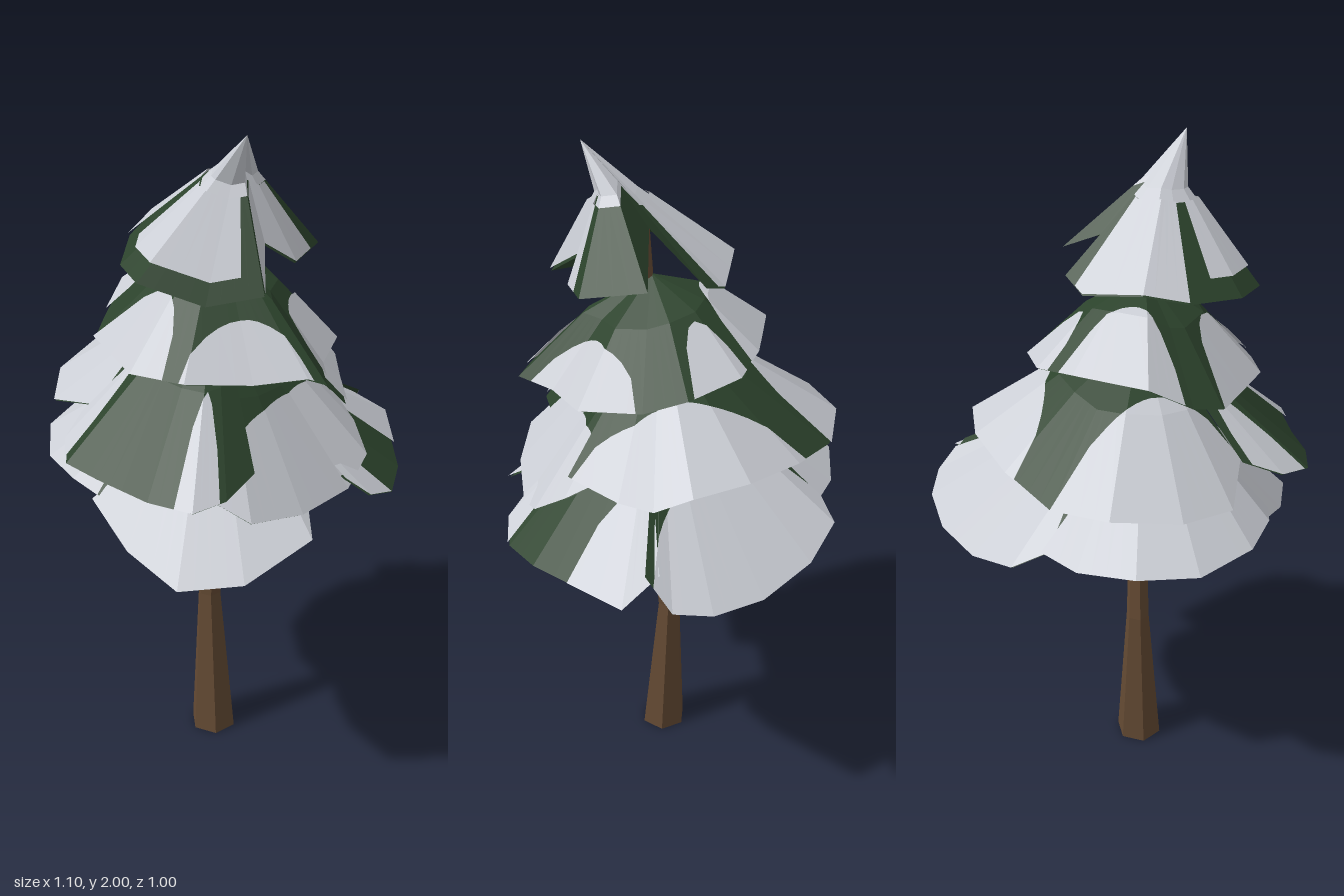
import * as THREE from 'three';

const make = (name, color) => {
  const m = new THREE.MeshStandardMaterial({ color, flatShading: true, side: THREE.DoubleSide });
  m.name = name;
  return m;
};

// Bent hexagonal trunk: rings of [x, y, z, radius]
function trunkGeometry() {
  const rings = [
    [-0.077, 0, 0.012, 0.072], [-0.07, 0.5, -0.006, 0.036], [-0.066, 0.8, 0.025, 0.028],
    [-0.068, 1.0, 0.02, 0.025], [-0.08, 1.5, 0.045, 0.021], [-0.095, 1.85, 0.062, 0.018],
  ];
  const n = rings.length - 1;
  const g = new THREE.CylinderGeometry(1, 1, n, 6, n, false, Math.PI / 12);
  const p = g.attributes.position;
  for (let i = 0; i < p.count; i++) {
    const [x, y, z, r] = rings[Math.round(p.getY(i) + n / 2)];
    p.setXYZ(i, x + p.getX(i) * r, y, z + p.getZ(i) * r);
  }
  return g;
}

// Sheet swept between top(u) and t1 on a bough; t runs from apex (0) to rim (1).
// It is lifted up and away from the trunk by the given amount.
function sheet(at, mid, u0, u1, top, t1, lift) {
  const pos = [];
  const us = [u0];
  for (let u = Math.floor(u0 * 4 + 1) / 4; u < u1; u += 0.25) us.push(u);
  us.push(u1);
  const put = (...pts) => pts.forEach((v) => {
    const out = new THREE.Vector3(v.x + 0.08, 0, v.z - 0.05).normalize();
    pos.push(v.x + out.x * lift, v.y + lift * 0.7, v.z + out.z * lift);
  });
  for (let i = 0; i + 1 < us.length; i++) {
    const [a, b] = [us[i], us[i + 1]];
    const rows = (u) => [top(u), Math.min(t1, Math.max(top(u), mid)), t1];
    const ra = rows(a), rb = rows(b);
    for (let k = 0; k < 2; k++) {
      const p = at(a, ra[k]), q = at(a, ra[k + 1]), r = at(b, rb[k + 1]), s = at(b, rb[k]);
      put(p, q, r, p, r, s);
    }
  }
  const g = new THREE.BufferGeometry();
  g.setAttribute('position', new THREE.Float32BufferAttribute(pos, 3));
  g.computeVertexNormals();
  return g;
}

// A bough: drooping fan from an apex to a rim, with snow patches [u0, u1, tTop, tBottom].
// Patches are round-topped unless tBottom is given; under lists patches on the lower face,
// and cap is the part of t that is all snow.
function bough(name, { apex, rim, snow, under = [], mid = 0.5, bend = [0, 0.025, 0], closed = false, cap = 0 }, needles, snowMat) {
  const tip = new THREE.Vector3(...apex);
  const off = new THREE.Vector3(...bend);
  const pts = rim.map((p) => new THREE.Vector3(...p));
  if (closed) pts.push(pts[0].clone());
  const last = pts.length - 1;
  const at = (u, t) => {
    const i = Math.min(Math.floor(u), last - 1);
    const edge = pts[i].clone().lerp(pts[i + 1], u - i);
    const k = t < mid ? t / mid : (1 - t) / (1 - mid);
    return tip.clone().lerp(edge, t).addScaledVector(off, k);
  };
  const group = new THREE.Group();
  group.name = name;
  const add = (part, geo, mat) => {
    const m = new THREE.Mesh(geo, mat);
    m.name = part;
    group.add(m);
  };
  add('needles', sheet(at, mid, 0, last, () => cap, 1, 0), needles);
  if (cap) add('snowCap', sheet(at, mid, 0, last, () => 0, cap, 0), snowMat);
  for (const [u0, u1, t0, t1] of snow) {
    const round = (u) => 1 - (1 - t0) * Math.pow(Math.max(0, Math.sin((Math.PI * (u - u0)) / (u1 - u0))), 0.38);
    add('snowPatch', sheet(at, mid, u0, u1, t1 ? () => t0 : round, t1 ?? 1, 0.006), snowMat);
  }
  for (const [u0, u1, t0, t1] of under) add('underSnow', sheet(at, mid, u0, u1, () => t0, t1, -0.005), snowMat);
  return group;
}

const low = [-0.08, 1.32, 0.02];
const middle = [-0.07, 1.49, 0.02];

const boughs = {
  lowRightBough: {
    apex: low, snow: [[0, 5, 0.45]], under: [[0.8, 1.15, 0.6, 0.85]],
    rim: [[-0.44, 0.96, -0.12], [-0.49, 0.88, 0.05], [-0.51, 0.84, 0.24], [-0.4, 0.86, 0.38], [-0.21, 0.94, 0.46], [-0.13, 1.02, 0.38]],
  },
  lowFrontBough: {
    apex: low, snow: [[0, 1.9, 0.5], [3.4, 5, 0.5]],
    rim: [[0, 1.02, 0.42], [0.04, 0.97, 0.48], [0.14, 0.94, 0.495], [0.26, 0.95, 0.44], [0.51, 0.96, 0.23], [0.46, 1.02, 0.12]],
  },
  lowLeftBough: {
    apex: low, snow: [[0.3, 6, 0.45]], under: [[0.6, 2, 0.7, 0.99]],
    rim: [[0.47, 1.03, 0.16], [0.54, 0.95, 0.1], [0.545, 0.93, -0.01], [0.49, 0.92, -0.16], [0.38, 0.94, -0.32], [0.26, 0.98, -0.42], [0.16, 1.02, -0.4]],
  },
  lowBackBough: {
    apex: low, snow: [[0, 6, 0.4]],
    rim: [[0.18, 1.02, -0.4], [0.08, 1, -0.46], [-0.08, 1.01, -0.5], [-0.25, 1, -0.465], [-0.39, 1, -0.33], [-0.44, 1, -0.19], [-0.44, 0.98, -0.1]],
  },
  middleFrontBough: {
    apex: middle, snow: [[0.1, 5.6, 0.54]],
    rim: [[-0.4, 1.08, 0.28], [-0.36, 1.03, 0.37], [-0.2, 1, 0.42], [0, 0.99, 0.43], [0.12, 1.04, 0.41], [0.17, 1.1, 0.33], [0.2, 1.17, 0.22]],
  },
  middleLeftBough: {
    apex: middle, snow: [[0.1, 5.2, 0.5]],
    rim: [[0.15, 1.16, 0.32], [0.29, 1.15, 0.2], [0.38, 1.17, 0.12], [0.41, 1.22, 0.02], [0.38, 1.23, -0.14], [0.28, 1.21, -0.3], [0.15, 1.18, -0.43]],
  },
  middleBackBough: {
    apex: middle, snow: [[0, 4, 0.4]],
    rim: [[0.15, 1.18, -0.43], [-0.01, 1.19, -0.49], [-0.2, 1.17, -0.46], [-0.33, 1.15, -0.36], [-0.35, 1.2, -0.18]],
  },
  middleRightBough: {
    apex: middle, snow: [[0.2, 1.8, 0.5], [4.6, 5.8, 0.5]],
    rim: [[-0.36, 1.2, -0.2], [-0.47, 1.15, -0.18], [-0.55, 1.13, -0.11], [-0.55, 1.12, 0], [-0.52, 1.09, 0.15], [-0.49, 1.09, 0.28], [-0.4, 1.1, 0.32], [-0.28, 1.13, 0.32]],
  },
  upperBoughs: {
    apex: [-0.08, 1.645, 0.04], closed: true, bend: [0, 0.04, 0],
    snow: [[0.4, 2.9, 0.61], [4.1, 5.3, 0.55], [5.6, 7.8, 0.4], [9, 10.6, 0.5], [10.9, 13.3, 0.62]],
    rim: [[-0.1, 1.35, 0.42], [0, 1.35, 0.33], [0.14, 1.36, 0.28], [0.22, 1.38, 0.12], [0.245, 1.42, 0],
      [0.2, 1.45, -0.15], [0.1, 1.47, -0.22], [-0.1, 1.47, -0.29], [-0.22, 1.4, -0.26], [-0.3, 1.38, -0.22],
      [-0.4, 1.37, 0], [-0.36, 1.37, 0.15], [-0.24, 1.36, 0.28], [-0.14, 1.37, 0.38]],
  },
  treeTop: {
    apex: [-0.18, 2, 0.21], closed: true, mid: 0.23, bend: [0.04, -0.045, -0.05], cap: 0.32,
    snow: [[0, 0.6, 0.32, 0.99], [4.6, 7, 0.32, 0.99], [7.5, 10.6, 0.32, 0.85], [11, 13, 0.32, 0.99]],
    rim: [[-0.05, 1.64, 0.27], [0.07, 1.66, 0.26], [0.15, 1.7, 0.09], [-0.05, 1.79, 0.05], [0.13, 1.69, -0.07], [0.08, 1.66, -0.13], [-0.08, 1.69, -0.19],
      [-0.2, 1.66, -0.17], [-0.34, 1.64, -0.08], [-0.39, 1.63, 0.02], [-0.31, 1.58, 0.18], [-0.22, 1.61, 0.3], [-0.12, 1.7, 0.22]],
  },
};

export function createModel() {
  const bark = make('bark brown', 0x644a33);
  const needles = make('needle green', 0x2c432c);
  const snow = make('snow white', 0xcbced5);

  const tree = new THREE.Group();
  tree.name = 'snowyPine';
  const trunk = new THREE.Mesh(trunkGeometry(), bark);
  trunk.name = 'trunk';
  tree.add(trunk);
  for (const [name, spec] of Object.entries(boughs)) tree.add(bough(name, spec, needles, snow));
  return tree;
}
